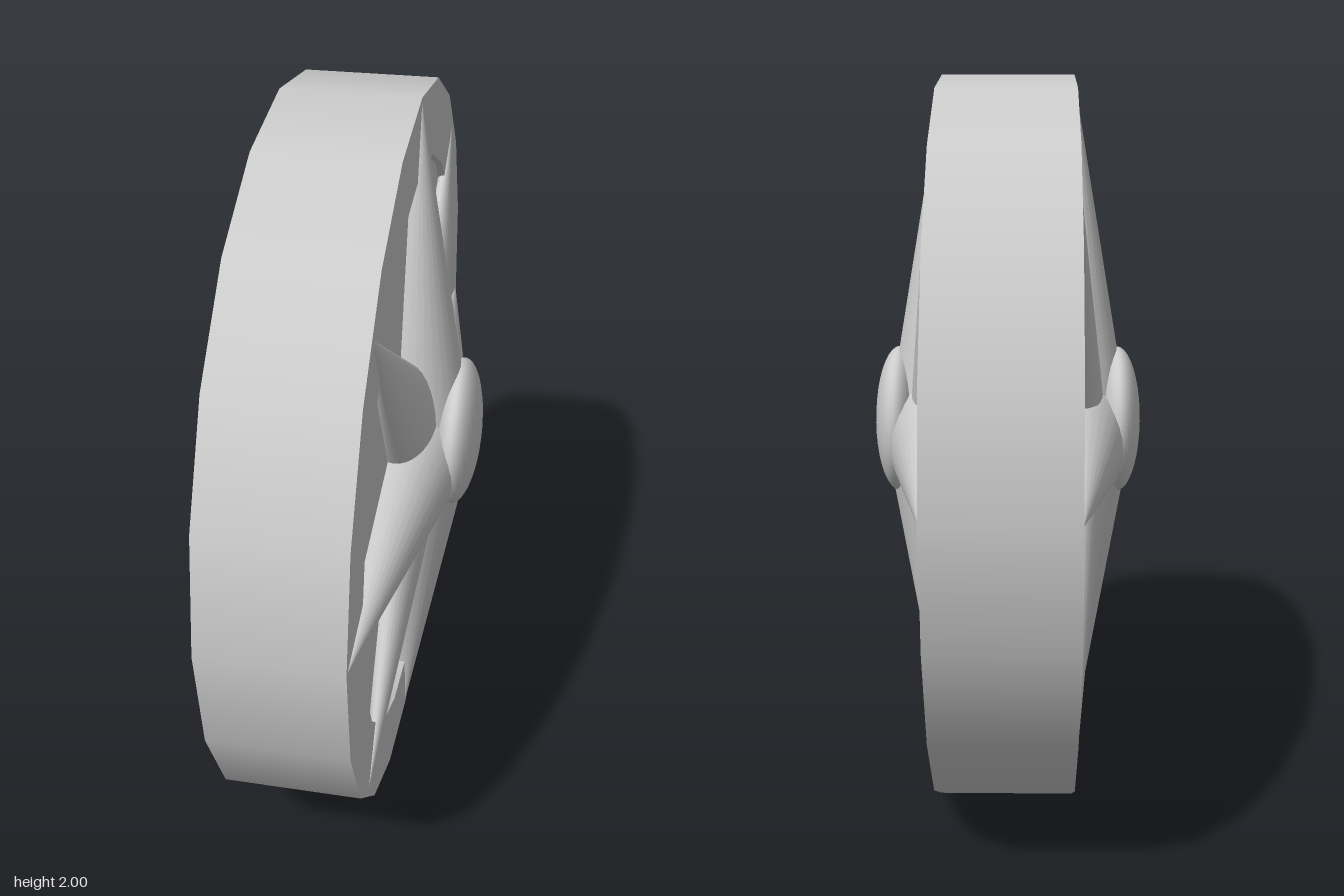
import * as THREE from 'three';

const SIDES = 20;
const HALF = 0.18;      // half thickness of the disc
const INNER = 0.8;      // radius of the recessed panel
const DEPTH = 0.02;     // depth of the recess

export function createModel() {
  const model = new THREE.Group();
  model.name = 'starMedallion';
  const mat = new THREE.MeshStandardMaterial({ color: 0xcccccc });
  const inside = new THREE.MeshStandardMaterial({ color: 0xcccccc, side: THREE.DoubleSide });

  const add = (parent, name, geometry, material = mat) => {
    const mesh = new THREE.Mesh(geometry, material);
    mesh.name = name;
    parent.add(mesh);
    return mesh;
  };

  // One star ray: an oval cone from the hub to its tip, lying on the face
  const addRay = (face, name, angle, length, halfWidth, height) => {
    const cone = new THREE.ConeGeometry(1, length, 32, 1);
    cone.translate(0, length / 2, 0).scale(halfWidth, 1, height);
    const ray = add(face, name, cone);
    ray.position.z = HALF - 0.002;
    ray.rotation.z = angle;
  };

  // Outer band of the disc
  const band = new THREE.CylinderGeometry(1, 1, 2 * HALF, SIDES, 1, true);
  add(model, 'outerBand', band.rotateZ(Math.PI / 2)).position.y = 1;

  // Both decorated faces, built facing +z and turned outwards
  for (const side of [1, -1]) {
    const face = new THREE.Group();
    face.name = side > 0 ? 'leftFace' : 'rightFace';
    face.position.y = 1;
    face.rotation.y = side * Math.PI / 2;
    model.add(face);

    // Flat border, recess wall and recessed panel
    add(face, 'border', new THREE.RingGeometry(INNER, 1, SIDES)).position.z = HALF;
    const wall = new THREE.CylinderGeometry(INNER, INNER, DEPTH, SIDES, 1, true);
    add(face, 'recessWall', wall.rotateX(Math.PI / 2), inside).position.z = HALF - DEPTH / 2;
    add(face, 'recessPanel', new THREE.CircleGeometry(INNER, SIDES)).position.z = HALF - DEPTH;

    // Four tall main rays with four flatter diagonal rays between them
    for (let i = 0; i < 4; i++) {
      const angle = i * Math.PI / 2;
      addRay(face, 'mainRay', angle, 1, 0.205, 0.172);
      addRay(face, 'diagonalRay', angle + Math.PI / 4, 0.99, 0.205, 0.105);
    }

    // Flattened knob, set slightly above the centre
    const knob = add(face, 'knob', new THREE.SphereGeometry(1, 32, 20));
    knob.scale.set(0.205, 0.205, 0.065);
    knob.position.set(0, 0.05, 0.308);
  }
  return model;
}
